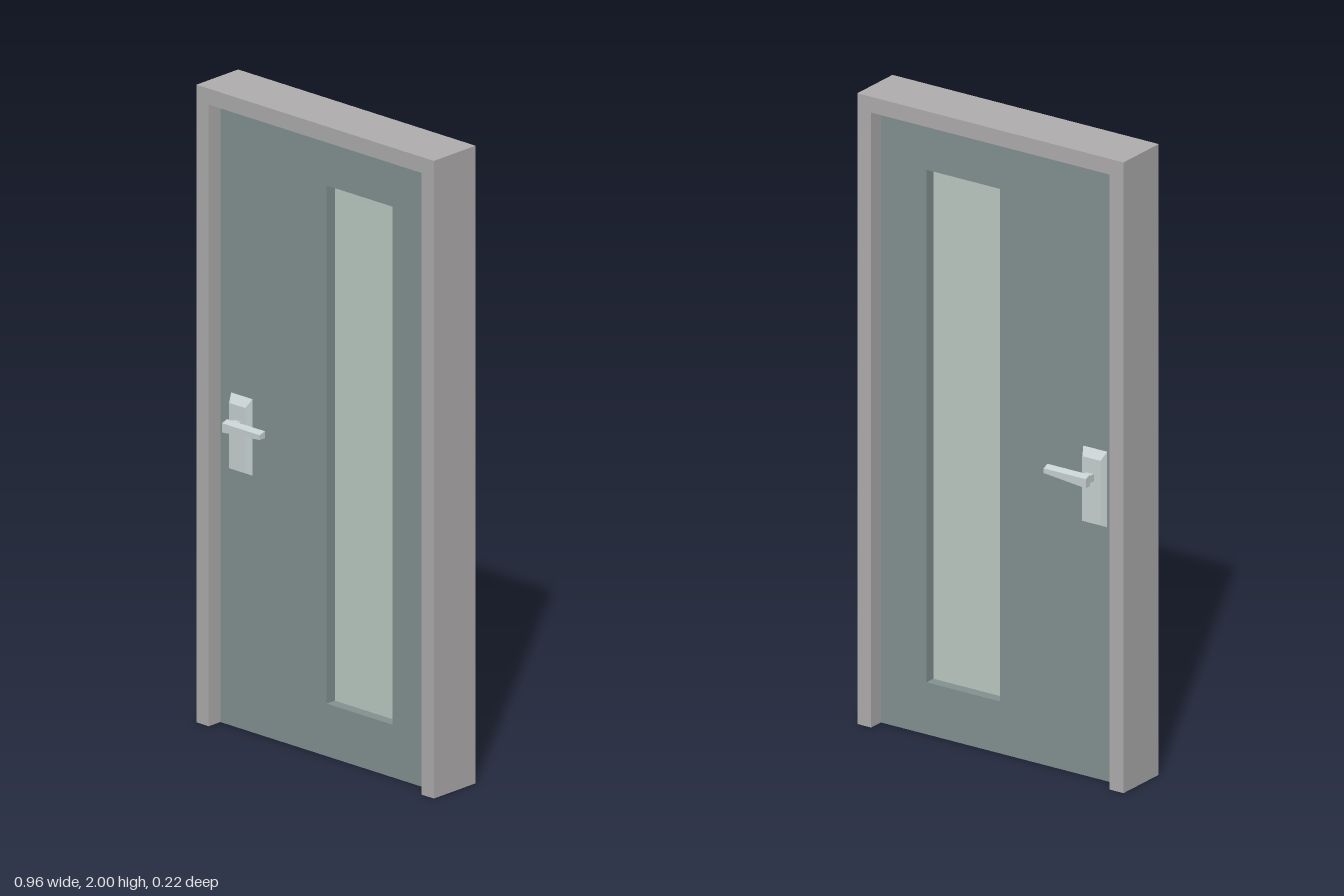
import * as THREE from 'three';

const material = (color) => new THREE.MeshStandardMaterial({ color });

// Flat panel cut from an outline and holes in the xy plane, centred on z = 0
function panel(name, outline, holes, depth, mat) {
  const shape = new THREE.Shape(outline.map(([x, y]) => new THREE.Vector2(x, y)));
  for (const h of holes) shape.holes.push(new THREE.Path(h.map(([x, y]) => new THREE.Vector2(x, y))));
  const geo = new THREE.ExtrudeGeometry(shape, { depth, bevelEnabled: false });
  geo.translate(0, 0, -depth / 2);
  const mesh = new THREE.Mesh(geo, mat);
  mesh.name = name;
  return mesh;
}

const rect = (x0, y0, x1, y1) => [[x0, y0], [x1, y0], [x1, y1], [x0, y1]];

// Box whose corners are placed by a rule: place(right, top, outer) -> [x, y, distance from the middle]
function cornerBox(name, side, place, mat) {
  const geo = new THREE.BoxGeometry(1, 1, 1);
  const p = geo.attributes.position;
  for (let i = 0; i < p.count; i++) {
    const [x, y, z] = place(p.getX(i) > 0, p.getY(i) > 0, p.getZ(i) * side > 0);
    p.setXYZ(i, x, y, z * side);
  }
  geo.computeVertexNormals();
  const mesh = new THREE.Mesh(geo, mat);
  mesh.name = name;
  return mesh;
}

// Bevelled plate, short stem and tapering lever on one face of the door
function handle(side, mat) {
  const g = new THREE.Group();
  g.name = side > 0 ? 'frontHandle' : 'backHandle';
  g.add(cornerBox('handlePlate', side, (right, top, outer) => outer
    ? [right ? -0.31 : -0.376, top ? 1.02 : 0.815, 0.06]
    : [right ? -0.3 : -0.386, top ? 1.045 : 0.805, 0.04], mat));
  g.add(cornerBox('handleStem', side, (right, top, outer) =>
    [right ? -0.325 : -0.352, top ? 0.973 : 0.95, outer ? 0.095 : 0.055], mat));
  g.add(cornerBox('handleLever', side, (right, top, outer) => [
    right ? -0.205 : -0.358,
    top ? (outer ? 0.974 : 0.981) : (right ? 0.959 : 0.945),
    outer ? 0.11 : 0.088,
  ], mat));
  return g;
}

export function createModel() {
  const model = new THREE.Group();
  model.name = 'door';

  const frameMat = material(0xb0aeae);
  const leafMat = material(0x839392);
  const glassMat = material(0xbccbc3);
  const metalMat = material(0xc8d2d2);

  // Door frame, open at the floor
  model.add(panel('doorFrame', [
    [-0.48, 0], [-0.43, 0], [-0.43, 1.95], [0.43, 1.95],
    [0.43, 0], [0.48, 0], [0.48, 2], [-0.48, 2],
  ], [], 0.18, frameMat));

  // Leaf with a tall window
  const opening = rect(0, 0.165, 0.265, 1.79);
  model.add(panel('doorLeaf', rect(-0.43, 0, 0.43, 1.95), [opening], 0.08, leafMat));
  model.add(panel('windowPane', opening, [], 0.01, glassMat));

  // One handle on each face
  for (const side of [1, -1]) model.add(handle(side, metalMat));

  return model;
}
